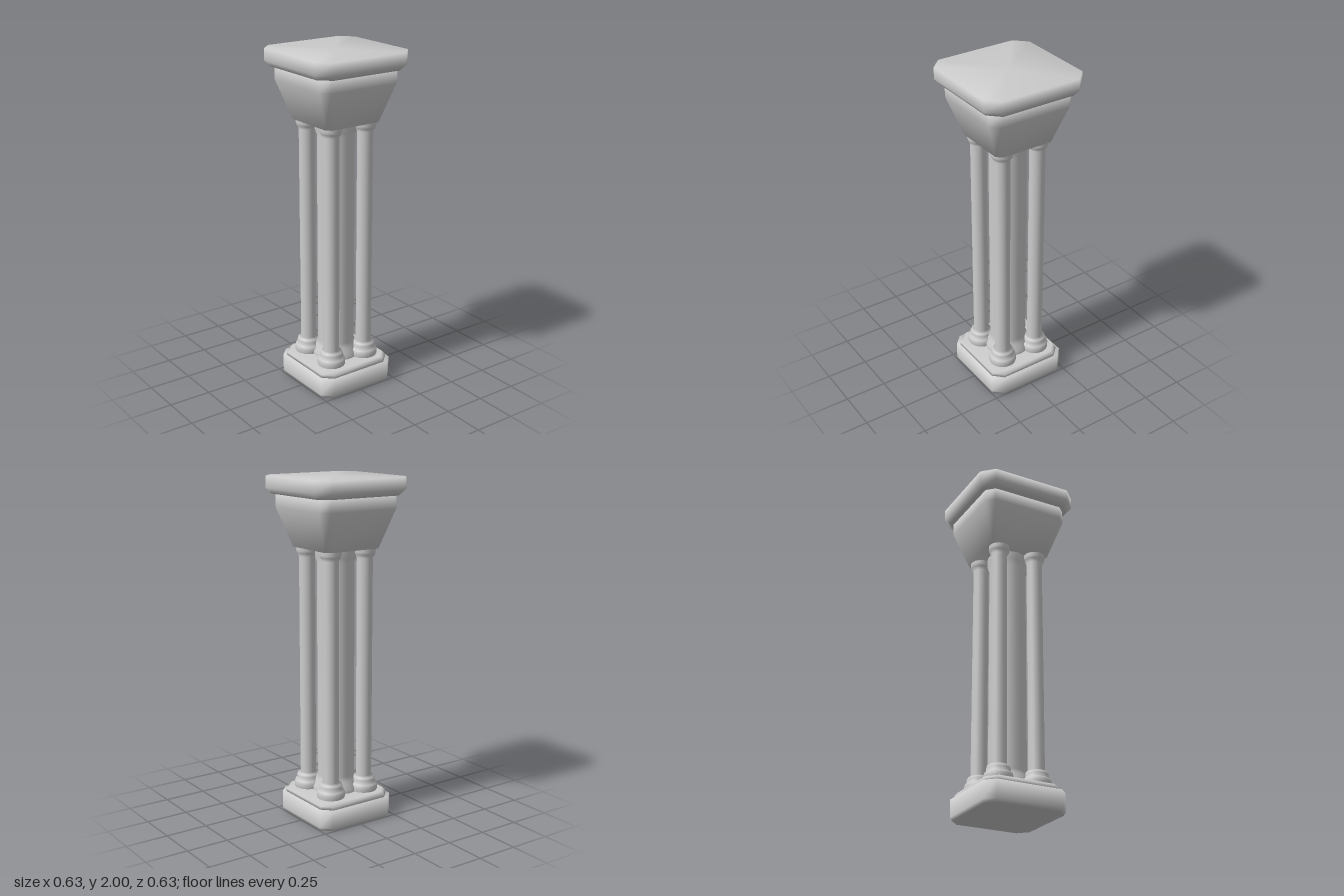
import * as THREE from 'three';

const material = new THREE.MeshStandardMaterial({ color: 0xcccccc });

// Smooth-shaded block stacked from chamfered-square rings [y, half width, chamfer], capped at both ends.
function chamferedBlock(name, rings) {
  const positions = [], index = [];
  for (const [y, h, c] of rings) {
    const k = h - c;
    for (const [x, z] of [[h, k], [k, h], [-k, h], [-h, k], [-h, -k], [-k, -h], [k, -h], [h, -k]]) {
      positions.push(x, y, z);
    }
  }
  const n = rings.length, bottom = n * 8, top = bottom + 1;
  positions.push(0, rings[0][0], 0, 0, rings[n - 1][0], 0);
  for (let i = 0; i < 8; i++) {
    const j = (i + 1) % 8;
    for (let r = 0; r < n - 1; r++) {
      const a = r * 8 + i, b = r * 8 + j;
      index.push(a, a + 8, b, b, a + 8, b + 8);
    }
    index.push(bottom, i, j);
    index.push(top, (n - 1) * 8 + j, (n - 1) * 8 + i);
  }
  const geometry = new THREE.BufferGeometry();
  geometry.setAttribute('position', new THREE.Float32BufferAttribute(positions, 3));
  geometry.setIndex(index);
  geometry.computeVertexNormals();
  const mesh = new THREE.Mesh(geometry, material);
  mesh.name = name;
  return mesh;
}

// Turned column from [radius, y] points.
function column(name, profile, x, z) {
  const geometry = new THREE.LatheGeometry(profile.map(([r, y]) => new THREE.Vector2(r, y)), 24);
  const mesh = new THREE.Mesh(geometry, material);
  mesh.name = name;
  mesh.position.set(x, 0, z);
  return mesh;
}

export function createModel() {
  const group = new THREE.Group();
  group.name = 'clusteredPillar';

  // Plinth and its upper step
  group.add(chamferedBlock('plinth', [[0, 0.243, 0.055], [0.02, 0.252, 0.055], [0.123, 0.252, 0.055]]));
  group.add(chamferedBlock('plinthStep', [[0.12, 0.237, 0.055], [0.14, 0.235, 0.055], [0.157, 0.222, 0.055]]));

  // Thick central shaft
  group.add(column('centralShaft', [
    [0.14, 0.15], [0.14, 0.18], [0.125, 0.2], [0.122, 0.225], [0.108, 0.25],
    [0.108, 1.52], [0.12, 1.55], [0.12, 1.61],
  ], 0, 0));

  // Four slender corner columns with moulded bases and collars
  const slender = [
    [0.078, 0.15], [0.082, 0.165], [0.082, 0.185], [0.077, 0.2], [0.066, 0.208],
    [0.068, 0.225], [0.062, 0.24], [0.046, 0.25],
    [0.046, 1.545], [0.058, 1.565], [0.062, 1.58], [0.062, 1.61],
  ];
  for (const x of [-1, 1]) {
    for (const z of [-1, 1]) {
      const name = (z > 0 ? 'front' : 'back') + (x > 0 ? 'Left' : 'Right') + 'Column';
      group.add(column(name, slender, x * 0.118, z * 0.118));
    }
  }

  // Flared capital and the slab on top
  group.add(chamferedBlock('capital', [[1.6, 0.187, 0.03], [1.825, 0.263, 0.045], [1.905, 0.263, 0.045]]));
  group.add(chamferedBlock('topSlab', [[1.9, 0.287, 0.066], [1.932, 0.313, 0.071], [2, 0.313, 0.071]]));

  return group;
}
